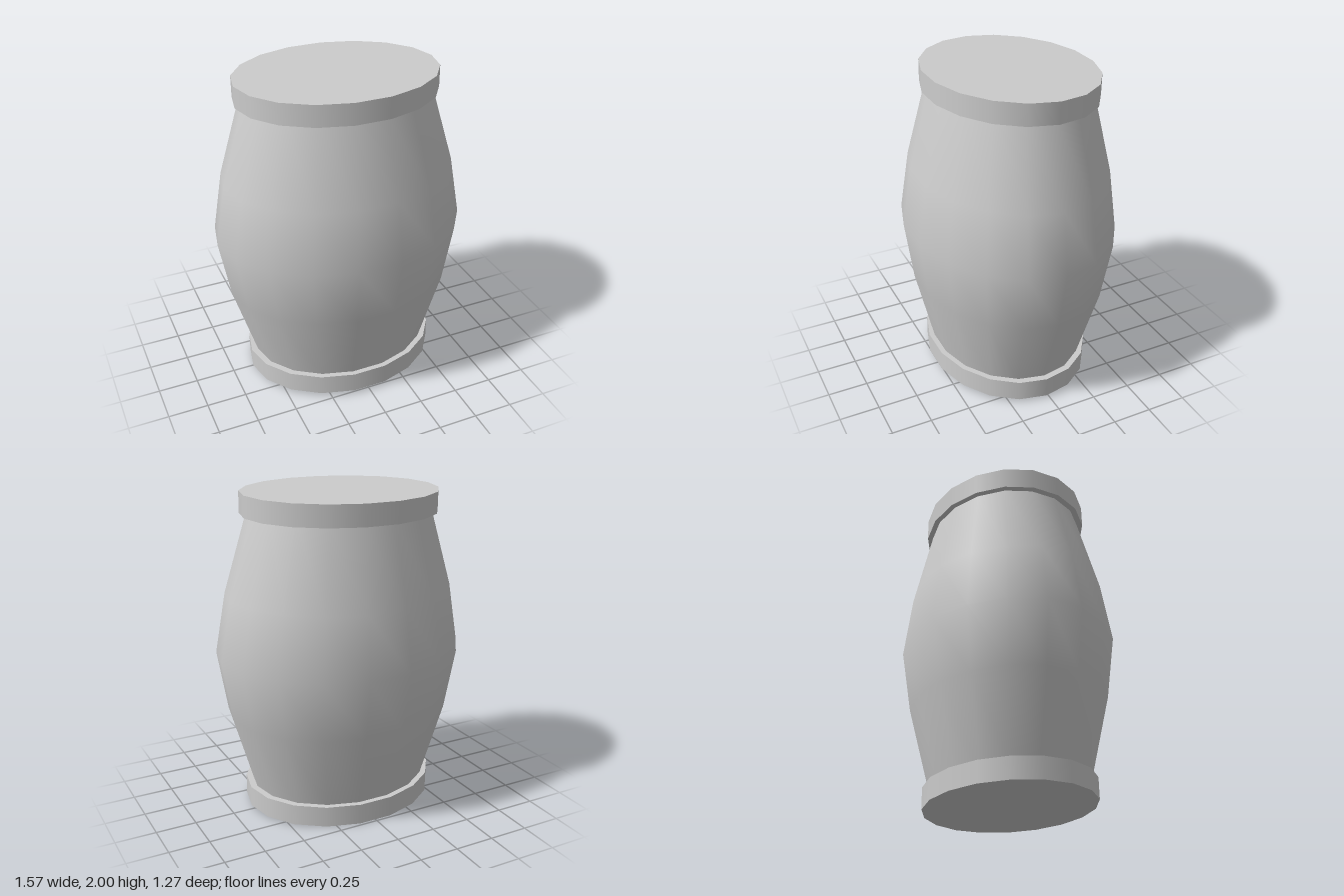
import * as THREE from 'three';

const SIDES = 18;
const START = Math.PI / 2; // puts a corner on the x axis
const TILT = -0.0225;
const DEPTH = 0.82; // oval cross-section

export function createModel() {
  const group = new THREE.Group();
  group.name = 'barrel';
  const material = new THREE.MeshStandardMaterial({ color: 0xcccccc });

  // Lean each part slightly backwards, flatten it front to back, stand it on the ground
  function addPart(name, geometry) {
    geometry.rotateX(TILT).scale(1, 1, DEPTH).translate(0, 1, 0);
    const mesh = new THREE.Mesh(geometry, material);
    mesh.name = name;
    group.add(mesh);
  }

  // Bulging body, its ends tucked into the rims
  const profile = [
    [0.574, -0.875], [0.722, -0.375], [0.787, 0], [0.722, 0.375], [0.574, 0.875],
  ].map(([r, y]) => new THREE.Vector2(r, y));
  addPart('body', new THREE.LatheGeometry(profile, SIDES, START));

  // Flat lid and base discs
  for (const [name, side] of [['lid', 1], ['base', -1]]) {
    const disc = new THREE.CylinderGeometry(0.62, 0.62, 0.13, SIDES, 1, false, START);
    addPart(name, disc.translate(0, side * 0.921, 0));
  }

  return group;
}
